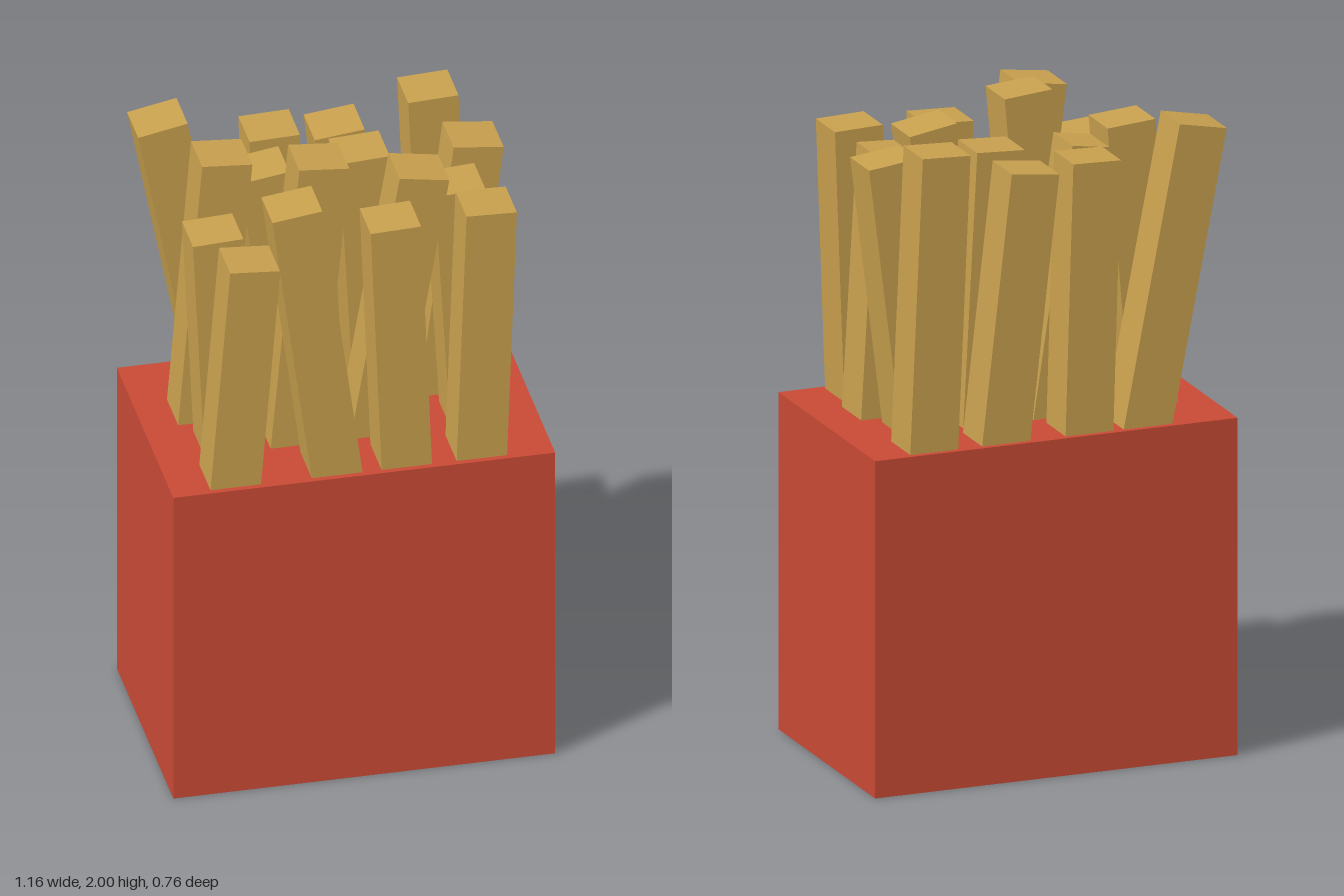
import * as THREE from 'three';

const RIM = 1.045;    // height of the carton
const WIDTH = 0.153;  // fry width
const DEPTH = 0.15;   // fry depth
const LENGTH = 1.15;

// One fry, hung from its highest top corner (x, y).
// lean: -1 tips toward -x, 1 toward +x; drift: sideways travel from rim to top.
function makeFry([x, y, lean, drift], z, material) {
  const geometry = new THREE.BoxGeometry(WIDTH, LENGTH, DEPTH);
  geometry.translate(lean * WIDTH / 2, -LENGTH / 2, 0);
  const fry = new THREE.Mesh(geometry, material);
  fry.position.set(x, y, z);
  fry.rotation.z = -lean * Math.atan(drift / (y - RIM));
  return fry;
}

export function createModel() {
  const red = new THREE.MeshStandardMaterial({ color: 0xc94a35 });
  red.name = 'cartonRed';
  const golden = new THREE.MeshStandardMaterial({ color: 0xc8a04e });
  golden.name = 'fryGold';

  const model = new THREE.Group();
  model.name = 'boxOfFries';

  // Carton
  const carton = new THREE.Mesh(new THREE.BoxGeometry(1.16, RIM, 0.756), red);
  carton.name = 'carton';
  carton.position.y = RIM / 2;
  model.add(carton);

  // Four rows of fries, back to front: [corner x, corner y, lean, drift]
  const rows = [
    [[-0.403, 1.97, -1, 0.18], [-0.062, 1.885, -1, 0.025], [0.135, 1.877, -1, 0.095], [0.42, 1.957, -1, 0.04]],
    [[-0.402, 1.933, 1, 0.073], [-0.137, 1.88, -1, 0.125], [0.168, 1.893, -1, 0.045], [0.362, 1.897, 1, 0.105]],
    [[-0.32, 1.785, -1, 0.035], [-0.15, 2.0, 1, 0.087], [0.155, 1.93, 1, 0.15], [0.415, 1.86, -1, 0.047]],
    [[-0.403, 1.79, 1, 0.06], [-0.123, 1.968, -1, 0.122], [0.177, 1.875, -1, 0.033], [0.315, 1.89, 1, 0.03]],
  ];
  rows.forEach((row, r) => {
    const group = new THREE.Group();
    group.name = `fryRow${r + 1}`;
    row.forEach((spec, i) => {
      const fry = makeFry(spec, -0.285 + r * 0.19, golden);
      fry.name = `fry${r + 1}_${i + 1}`;
      group.add(fry);
    });
    model.add(group);
  });

  return model;
}
